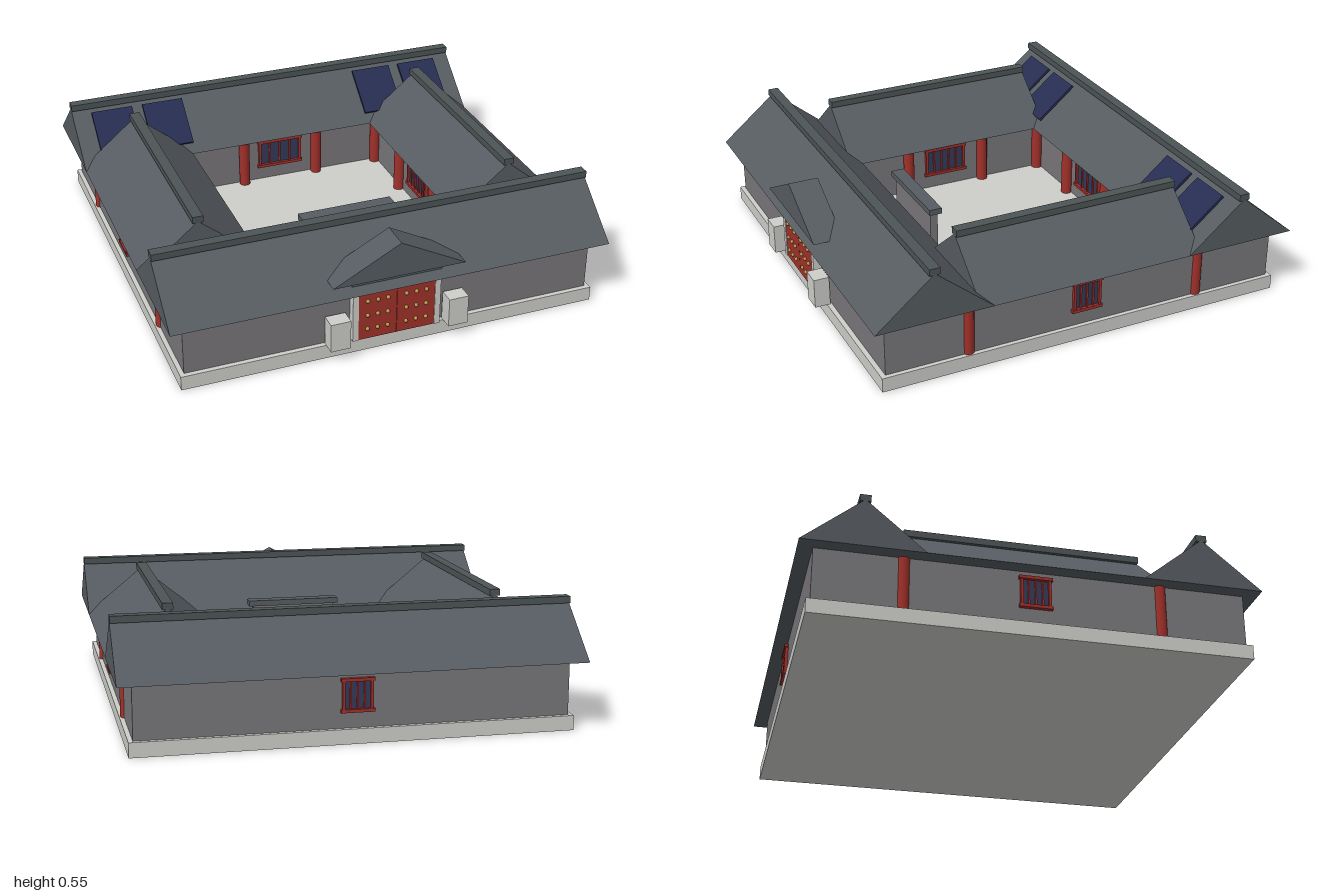
import * as THREE from 'three';

const mat = (name, color) => {
  const m = new THREE.MeshStandardMaterial({ color });
  m.name = name;
  return m;
};

export function createModel() {
  const roofTile = mat('roof tile', 0x565c61);
  const ridgeTile = mat('ridge tile', 0x4d5456);
  const brick = mat('grey brick', 0x78767a);
  const stone = mat('pale stone', 0xcdcdc9);
  const red = mat('red lacquer', 0xa0302a);
  const gold = mat('brass', 0xb89a4a);
  const glass = mat('window glass', 0x343a58);
  const solar = mat('solar panel blue', 0x262d52);

  const model = new THREE.Group();
  model.name = 'courtyardHouse';

  const add = (name, geo, material, parent = model) => {
    const m = new THREE.Mesh(geo, material);
    m.name = name;
    parent.add(m);
    return m;
  };
  // Box given by its limits on each axis
  const box = (name, material, [x0, x1], [y0, y1], [z0, z1], parent = model) => {
    const m = add(name, new THREE.BoxGeometry(x1 - x0, y1 - y0, z1 - z0), material, parent);
    m.position.set((x0 + x1) / 2, (y0 + y1) / 2, (z0 + z1) / 2);
    return m;
  };
  // Triangular prism with its ridge along z, centred on its length
  const prism = (name, half, height, length) => {
    const s = new THREE.Shape([
      new THREE.Vector2(-half, 0), new THREE.Vector2(half, 0), new THREE.Vector2(0, height),
    ]);
    const g = new THREE.ExtrudeGeometry(s, { depth: length, bevelEnabled: false });
    g.translate(0, 0, -length / 2);
    return add(name, g, roofTile);
  };

  const FLOOR = 0.065, EAVE = 0.305, APEX = 0.522;

  // Plinth, also the courtyard floor
  box('plinth', stone, [-0.95, 0.95], [0, FLOOR], [-0.95, 0.945]);

  // Front and back halls
  for (const [label, z] of [['front', 0.724], ['back', -0.732]]) {
    box(label + 'HallWalls', brick, [-0.93, 0.93], [FLOOR, EAVE], [z - 0.199, z + 0.199]);
    const r = prism(label + 'HallRoof', 0.263, APEX - EAVE, 1.99);
    r.rotation.y = Math.PI / 2;
    r.position.set(0, EAVE, z);
    box(label + 'HallRidge', ridgeTile, [-0.995, 0.995], [0.515, 0.545], [z - 0.024, z + 0.024]);
  }

  // Side halls
  for (const s of [-1, 1]) {
    const label = s > 0 ? 'left' : 'right';
    const x = s * 0.73;
    box(label + 'HallWalls', brick, [x - 0.2, x + 0.2], [FLOOR, EAVE], [-0.535, 0.53]);
    const r = prism(label + 'HallRoof', 0.265, APEX - EAVE, 1.05);
    r.position.set(x, EAVE, -0.005);
    box(label + 'HallRidge', ridgeTile, [x - 0.024, x + 0.024], [0.515, 0.545], [-0.53, 0.52]);
  }

  // Round pillars
  const pillarGeo = new THREE.CylinderGeometry(0.026, 0.026, EAVE - FLOOR, 16);
  const pillar = (x, z) => {
    add('pillar', pillarGeo, red).position.set(x, (FLOOR + EAVE) / 2, z);
  };
  for (const s of [-1, 1]) {
    for (const z of [0.548, -0.555]) pillar(s * 0.919, z);
    for (const z of [0.51, -0.515]) {
      pillar(s * 0.515, z);
      pillar(s * 0.19, z);
    }
    for (const z of [-0.2, 0.2]) pillar(s * 0.515, z);
  }

  // Lattice window facing local +z
  const latticeWindow = (name, half, bars, x, z, turn) => {
    const g = new THREE.Group();
    g.name = name;
    box('pane', glass, [-half, half], [-0.07, 0.07], [-0.005, 0.004], g);
    for (const s of [-1, 1]) {
      const y = s * 0.066;
      box('rail', red, [-half - 0.012, half + 0.012], [y - 0.007, y + 0.007], [-0.005, 0.018], g);
      box('stile', red, [s * half - 0.006, s * half + 0.006], [-0.07, 0.07], [-0.005, 0.015], g);
    }
    for (let i = 1; i <= bars; i++) {
      const bx = -half + (2 * half * i) / (bars + 1);
      box('bar', red, [bx - 0.004, bx + 0.004], [-0.065, 0.065], [-0.005, 0.011], g);
    }
    g.position.set(x, 0.207, z);
    g.rotation.y = turn;
    model.add(g);
  };
  const Q = Math.PI / 2;
  latticeWindow('backWindow', 0.06, 3, 0, -0.931, Math.PI);
  latticeWindow('backCourtWindow', 0.105, 3, 0, -0.533, 0);
  latticeWindow('frontCourtWindow', 0.105, 3, 0, 0.525, Math.PI);
  for (const s of [-1, 1]) {
    latticeWindow('sideWindow', 0.06, 3, s * 0.93, 0, s * Q);
    latticeWindow('sideCourtWindow', 0.1, 4, s * 0.53, 0, -s * Q);
  }

  // Gate: leaves with studs, stone jambs and flanking blocks
  const studGeo = new THREE.SphereGeometry(0.009, 10, 8);
  for (const s of [-1, 1]) {
    const span = (a, b) => (s > 0 ? [a, b] : [-b, -a]);
    box('gateLeaf', red, span(0.001, 0.175), [FLOOR, 0.302], [0.915, 0.957]);
    box('gateJamb', stone, span(0.175, 0.201), [FLOOR, 0.302], [0.915, 0.96]);
    box('gateStone', stone, span(0.225, 0.315), [FLOOR, 0.2], [0.93, 1]);
    for (const x of [0.042, 0.088, 0.134]) {
      for (const y of [0.115, 0.183, 0.253]) add('gateStud', studGeo, gold).position.set(s * x, y, 0.96);
    }
  }
  box('gateLintel', roofTile, [-0.205, 0.205], [0.335, 0.35], [0.86, 0.953]);
  prism('gateGable', 0.3, 0.158, 0.135).position.set(0, 0.365, 0.9175);

  // Screen wall inside the gate
  box('screenWall', brick, [-0.2, 0.2], [FLOOR, 0.335], [0.362, 0.398]);
  box('screenWallCap', roofTile, [-0.222, 0.222], [0.335, 0.362], [0.35, 0.41]);

  // Solar panels on the courtyard slope of the back hall
  const slope = Math.atan2(APEX - EAVE, 0.263);
  for (const s of [-1, 1]) {
    for (const x of [0.553, 0.805]) {
      const p = add('solarPanel', new THREE.BoxGeometry(0.2, 0.012, 0.24), solar);
      p.position.set(s * x, 0.428, -0.592);
      p.rotation.x = slope;
    }
  }

  return model;
}
